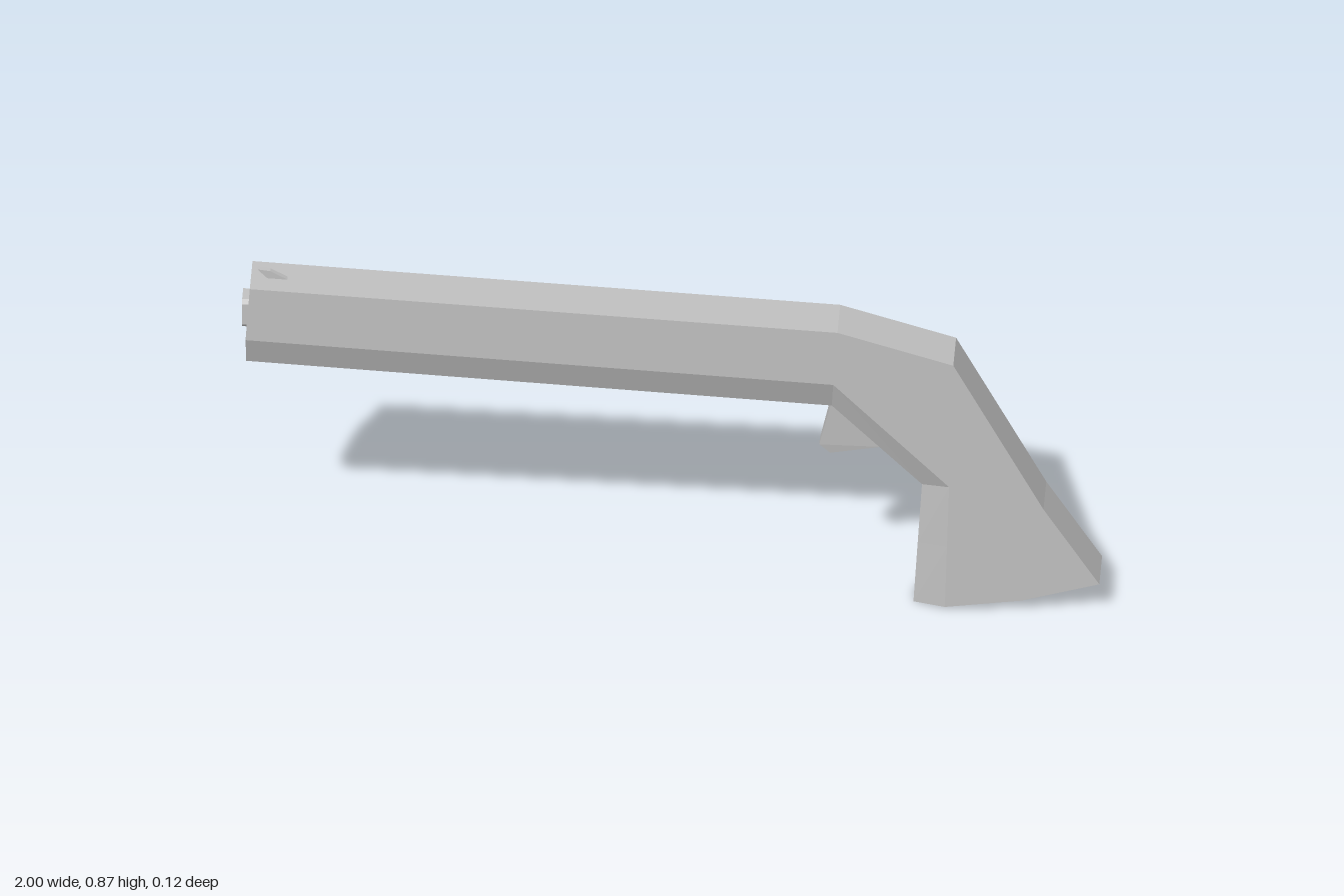
import * as THREE from 'three';

const steel = new THREE.MeshStandardMaterial({ color: 0xc0c0c0, flatShading: true });
steel.name = 'grey';

// Skin a list of equal-length rings (counter-clockwise about the direction of travel) and cap both ends
function loft(name, rings) {
  const pos = [];
  const quad = (a, b, c, d) => [a, b, c, a, c, d].forEach((p) => pos.push(...p));
  const n = rings[0].length;
  for (let s = 0; s < rings.length - 1; s++) {
    const a = rings[s], b = rings[s + 1];
    for (let i = 0; i < n; i++) {
      const j = (i + 1) % n;
      quad(a[i], a[j], b[j], b[i]);
    }
  }
  const first = rings[0], last = rings[rings.length - 1];
  for (let k = 0; k < n / 2 - 1; k++) {
    quad(last[k], last[k + 1], last[n - 2 - k], last[n - 1 - k]);
    quad(first[n - 1 - k], first[n - 2 - k], first[k + 1], first[k]);
  }
  const geometry = new THREE.BufferGeometry();
  geometry.setAttribute('position', new THREE.Float32BufferAttribute(pos, 3));
  geometry.computeVertexNormals();
  const mesh = new THREE.Mesh(geometry, steel);
  mesh.name = name;
  return mesh;
}

// Thin part from a side outline of [x, y, half width]
function plate(name, outline, z) {
  return loft(name, [-1, 1].map((s) => outline.map(([x, y, w]) => [x, y, z + s * w])));
}

export function createModel() {
  const group = new THREE.Group();
  group.name = 'pistol';

  // Body stations: spine edge, side point, bevel edge, inner edge
  const halfWidth = 0.058, innerHalf = 0.027;
  const stations = [
    [[-0.98, 0.85], [-0.985, 0.78], [-0.99, 0.705], [-0.99, 0.625]],
    [[0.39, 0.778], [0.385, 0.70], [0.38, 0.63], [0.375, 0.55]],
    [[0.66, 0.695], [0.655, 0.52], [0.65, 0.35], [0.585, 0.335]],
    [[0.87, 0.295], [0.76, 0.24], [0.645, 0.18], [0.575, 0.17]],
    [[1.0, 0.088], [0.82, 0.035], [0.64, 0.01], [0.565, 0.002]],
  ];
  const bodyRings = stations.map((pts) => {
    const side = (s) => pts.map(([x, y], i) => {
      const lean = 0.008 * (y - 0.43); // slight roll of the whole body
      return [x, y, lean + s * (i === 3 ? innerHalf : halfWidth)];
    });
    return [...side(1), ...side(-1).reverse()];
  });
  group.add(loft('body', bodyRings));

  // Trigger, narrowing towards its tip
  group.add(plate('trigger', [
    [0.375, 0.56, 0.026], [0.345, 0.43, 0.014], [0.37, 0.405, 0.011],
    [0.49, 0.435, 0.024], [0.52, 0.47, 0.026],
  ], 0));

  // Front sight
  group.add(plate('frontSight', [
    [-0.965, 0.872, 0.006], [-0.94, 0.846, 0.006], [-0.895, 0.846, 0.006], [-0.935, 0.868, 0.006],
  ], 0.005));

  // Muzzle plug with clipped corners
  const plug = [
    [0.022, 0.795], [0.03, 0.785], [0.03, 0.728], [0.022, 0.718],
    [-0.022, 0.718], [-0.03, 0.728], [-0.03, 0.785], [-0.022, 0.795],
  ];
  group.add(loft('muzzle', [-1.0, -0.975].map((x) => plug.map(([z, y]) => [x, y, z]))));

  return group;
}
